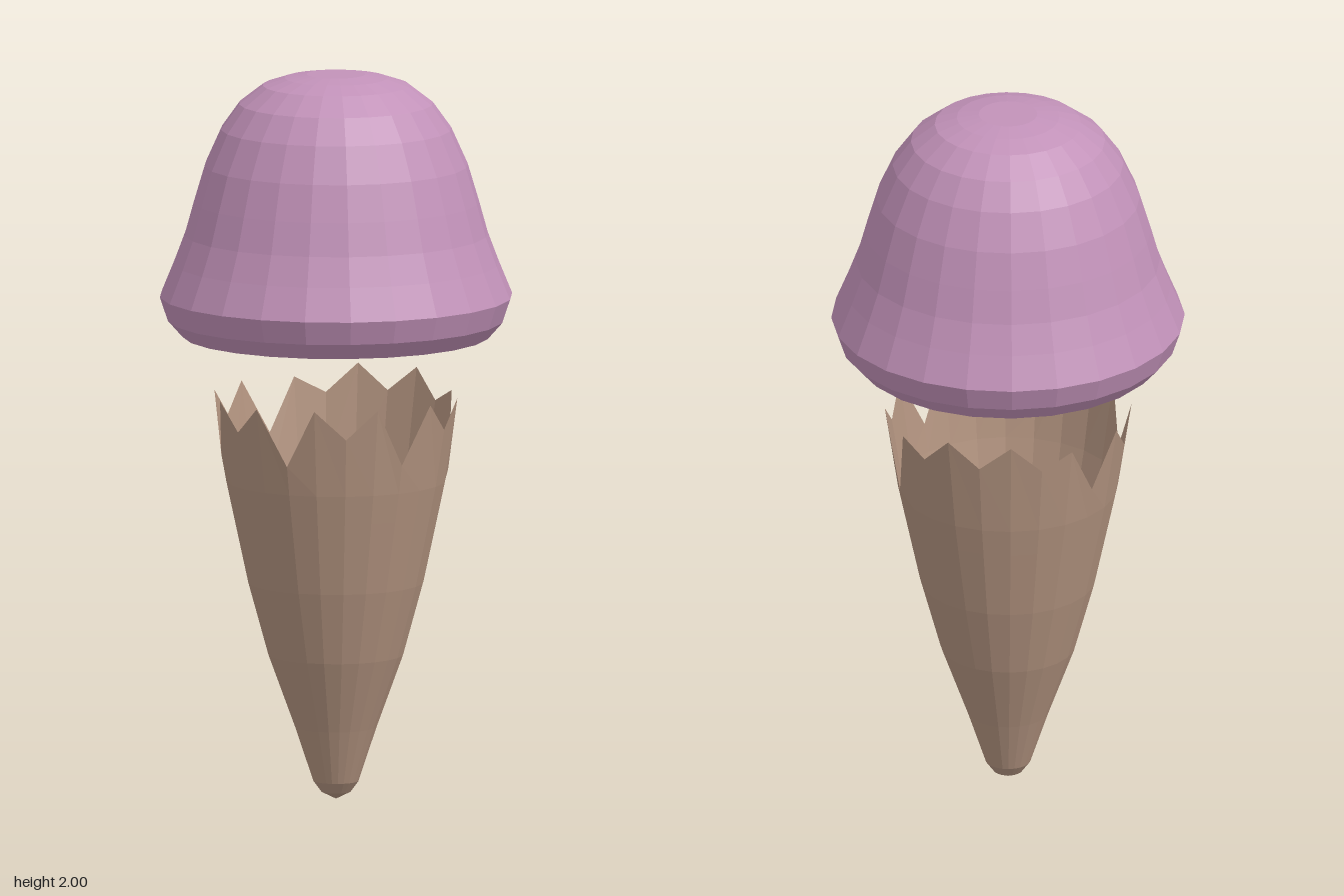
import * as THREE from 'three';

const SIDES = 24;

function material(name, color) {
  const m = new THREE.MeshStandardMaterial({ color, flatShading: true, side: THREE.DoubleSide });
  m.name = name;
  return m;
}

// Faceted surface of revolution from [radius, y] pairs, bottom to top
function turned(profile) {
  return new THREE.LatheGeometry(profile.map(([r, y]) => new THREE.Vector2(r, y)), SIDES);
}

function addMesh(group, name, geometry, mat) {
  const mesh = new THREE.Mesh(geometry, mat);
  mesh.name = name;
  group.add(mesh);
}

export function createModel() {
  const group = new THREE.Group();
  group.name = 'iceCreamCone';
  const pink = material('berry pink', 0xc292b9);
  const wafer = material('wafer brown', 0xb39480);

  // Hollow scoop with a flared skirt that curls under at the rim
  addMesh(group, 'scoop', turned([
    [0.38, 1.31], [0.395, 1.285], [0.42, 1.28], [0.46, 1.325], [0.482, 1.39],
    [0.445, 1.48], [0.415, 1.56], [0.39, 1.65], [0.36, 1.75], [0.315, 1.85],
    [0.265, 1.92], [0.2, 1.97], [0.14, 1.99], [0.08, 2], [0, 2],
  ]), pink);

  // Open wafer cone; its last ring is raised or lowered into a broken edge
  const profile = [
    [0, 0], [0.04, 0.02], [0.062, 0.05], [0.112, 0.2], [0.185, 0.4],
    [0.24, 0.6], [0.283, 0.8], [0.3, 0.88], [0.34, 1.1],
  ];
  // Edge heights every 15 degrees, starting at the front and turning towards +x
  const edge = [
    0.96, 1.12, 1.04, 1.115, 0.905, 1.11, 1.07, 1.15, 1.08, 1.15, 1.07, 1.115,
    0.97, 1.12, 1.04, 1.12, 0.955, 1.115, 1.04, 1.115, 0.96, 1.12, 1.04, 1.12,
  ];
  const cone = turned(profile);
  const pos = cone.attributes.position;
  for (let i = 0; i <= SIDES; i++) {
    const y = edge[i % SIDES];
    const r = 0.32 + (y - 1) * 0.14;
    const a = (i / SIDES) * Math.PI * 2;
    pos.setXYZ((i + 1) * profile.length - 1, r * Math.sin(a), y, r * Math.cos(a));
  }
  cone.computeVertexNormals();
  addMesh(group, 'cone', cone, wafer);

  return group;
}
